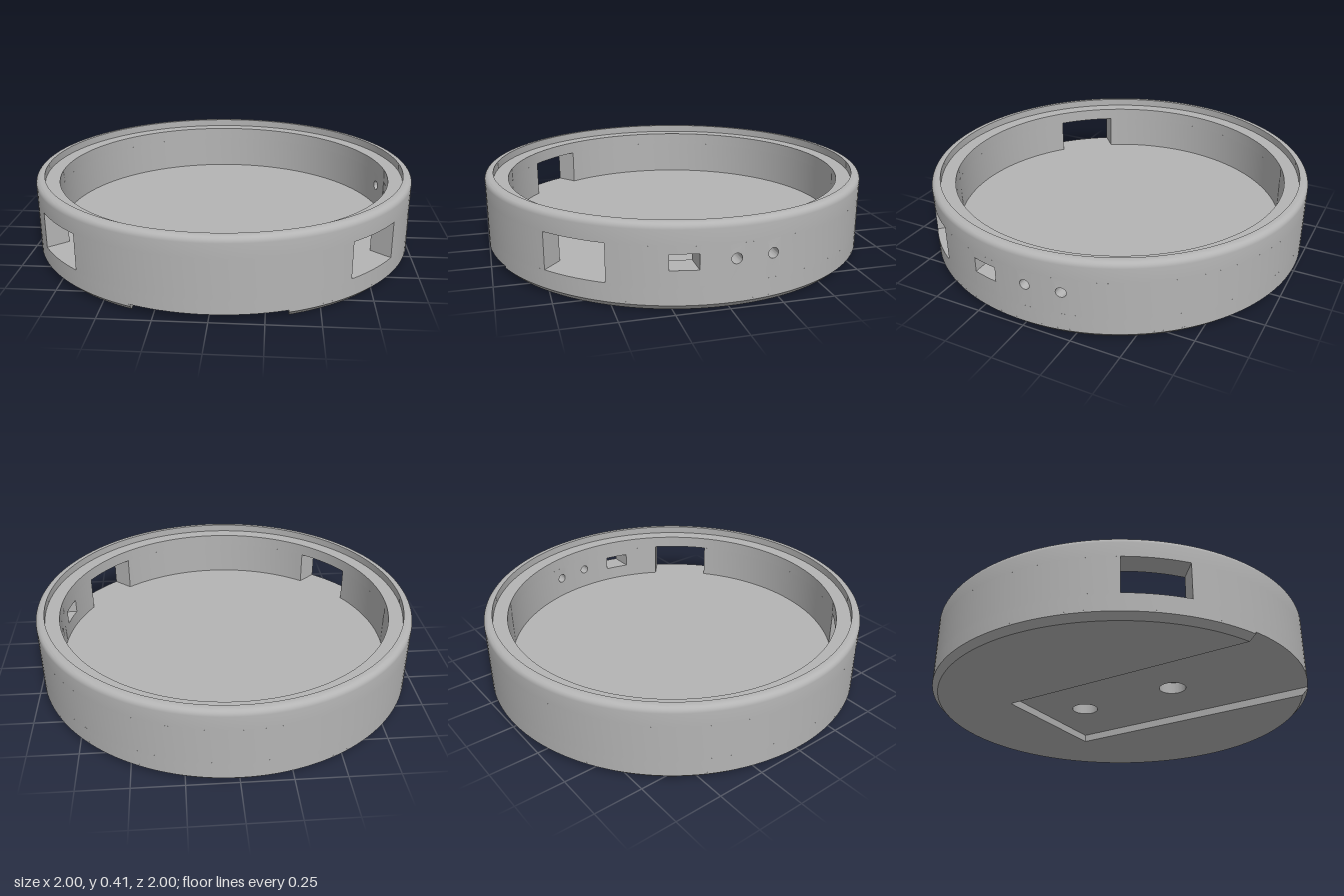
import * as THREE from 'three';
import { toCreasedNormals } from 'three/addons/utils/BufferGeometryUtils.js';

const R = 1, INNER = 0.88;            // outer and inner wall radius
const FLOOR = 0.12, SILL_TOP = 0.305; // inside floor, top of the window band
const SLOT = { x: 0.355, back: -0.47, y: 0.04 };
const SEGMENTS = 144;

// Plan point at angle a from the front (+z) towards +x
const plan = (r, a) => new THREE.Vector2(r * Math.sin(a), -r * Math.cos(a));

function arc(r, a0, a1) {
  const n = Math.max(2, Math.ceil(Math.abs(a1 - a0) / (2 * Math.PI) * SEGMENTS));
  return Array.from({ length: n + 1 }, (_, i) => plan(r, a0 + (a1 - a0) * i / n));
}

// Extrude a plan shape upwards from y0 to y1
function slab(shape, y0, y1, steps = 1) {
  const g = new THREE.ExtrudeGeometry(shape, { depth: y1 - y0, steps, bevelEnabled: false, curveSegments: 32 });
  return g.rotateX(-Math.PI / 2).translate(0, y0, 0);
}

// Curved wall piece; each edge gives its angle for a radius
function wallPiece(from, to, y0 = FLOOR, y1 = SILL_TOP) {
  const outline = [...arc(R, from(R), to(R)), ...arc(INNER, to(INNER), from(INNER))];
  return slab(new THREE.Shape(outline), y0, y1);
}

// Narrow wall piece with a round hole running along x
function holePiece(z, half, radius, y) {
  const s = new THREE.Shape([
    new THREE.Vector2(-z - half, FLOOR), new THREE.Vector2(-z + half, FLOOR),
    new THREE.Vector2(-z + half, SILL_TOP), new THREE.Vector2(-z - half, SILL_TOP),
  ]);
  s.holes.push(new THREE.Path().absarc(-z, y, radius, 0, Math.PI * 2, true));
  const g = new THREE.ExtrudeGeometry(s, { depth: 1, bevelEnabled: false, curveSegments: 16 });
  const p = g.attributes.position;
  for (let i = 0; i < p.count; i++) {
    const u = p.getX(i), r = p.getZ(i) > 0.5 ? R : INNER;
    p.setXYZ(i, Math.sqrt(r * r - u * u), p.getY(i), -u);
  }
  return g;
}

// Bottom layer with the mounting slot open to the front and a chamfered edge
function bottomLayer() {
  const a = Math.asin(SLOT.x / R);
  const outline = arc(R, a, 2 * Math.PI - a);
  outline.push(new THREE.Vector2(-SLOT.x, -SLOT.back), new THREE.Vector2(SLOT.x, -SLOT.back));
  const g = slab(new THREE.Shape(outline), 0, SLOT.y, 4);
  const p = g.attributes.position;
  for (let i = 0; i < p.count; i++) {
    const x = p.getX(i), y = p.getY(i), z = p.getZ(i);
    if (Math.hypot(x, z) < 0.95) continue;
    const r = Math.min(R, 0.97 + y);
    if (z > 0 && Math.abs(x) < SLOT.x + 0.001) p.setZ(i, Math.sqrt(r * r - x * x));
    else p.setXYZ(i, x * r, y, z * r);
  }
  return g;
}

// Middle layer with the two screw holes above the slot
function screwLayer() {
  const s = new THREE.Shape(arc(R, 0, 2 * Math.PI).slice(0, -1));
  for (const z of [-0.23, 0.325]) {
    s.holes.push(new THREE.Path().absarc(0, -z, 0.07, 0, Math.PI * 2, true));
  }
  return slab(s, SLOT.y, 0.1);
}

// Upper ring with an inner ledge and a rounded outer lip
function rim() {
  const pts = [[INNER, SILL_TOP], [R, SILL_TOP]];
  for (let i = 0; i <= 6; i++) {
    const t = i / 6 * Math.PI / 2;
    pts.push([0.97 + 0.03 * Math.cos(t), 0.38 + 0.03 * Math.sin(t)]);
  }
  pts.push([0.955, 0.41], [0.955, 0.37], [INNER, 0.37], [INNER, SILL_TOP]);
  return new THREE.LatheGeometry(pts.map(([x, y]) => new THREE.Vector2(x, y)), SEGMENTS);
}

export function createModel() {
  const group = new THREE.Group();
  group.name = 'roundCase';
  const grey = new THREE.MeshStandardMaterial({ color: 0xb4b4b4 });
  grey.name = 'grey plastic';

  const add = (name, geometry, parent = group) => {
    const mesh = new THREE.Mesh(toCreasedNormals(geometry, 0.5), grey);
    mesh.name = name;
    parent.add(mesh);
  };

  // Base
  add('slottedBottom', bottomLayer());
  add('screwHoleLayer', screwLayer());
  add('floor', new THREE.CylinderGeometry(R, R, 0.02, SEGMENTS).translate(0, 0.11, 0));

  // Wall band, split around the two windows, the port and the two small holes
  const wall = new THREE.Group();
  wall.name = 'wall';
  group.add(wall);
  const centre = THREE.MathUtils.degToRad(49);
  const windowEdge = (c, side) => r => c + side * Math.asin(0.16 / r);
  const zEdge = z => r => Math.acos(z / r);
  const holes = [-0.024, -0.2], half = 0.035;

  add('frontWall', wallPiece(windowEdge(-centre, 1), windowEdge(centre, -1)), wall);
  add('wallBesideWindow', wallPiece(windowEdge(centre, 1), zEdge(0.27)), wall);
  add('wallBelowPort', wallPiece(zEdge(0.27), zEdge(0.14), FLOOR, 0.195), wall);
  add('wallAbovePort', wallPiece(zEdge(0.27), zEdge(0.14), 0.27, SILL_TOP), wall);
  let edge = 0.14;
  for (const z of holes) {
    add('wallBeforeHole', wallPiece(zEdge(edge), zEdge(z + half)), wall);
    add('wallWithHole', holePiece(z, half, 0.025, 0.235), wall);
    edge = z - half;
  }
  add('backWall', wallPiece(zEdge(edge), windowEdge(2 * Math.PI - centre, -1)), wall);

  add('rim', rim());
  return group;
}
